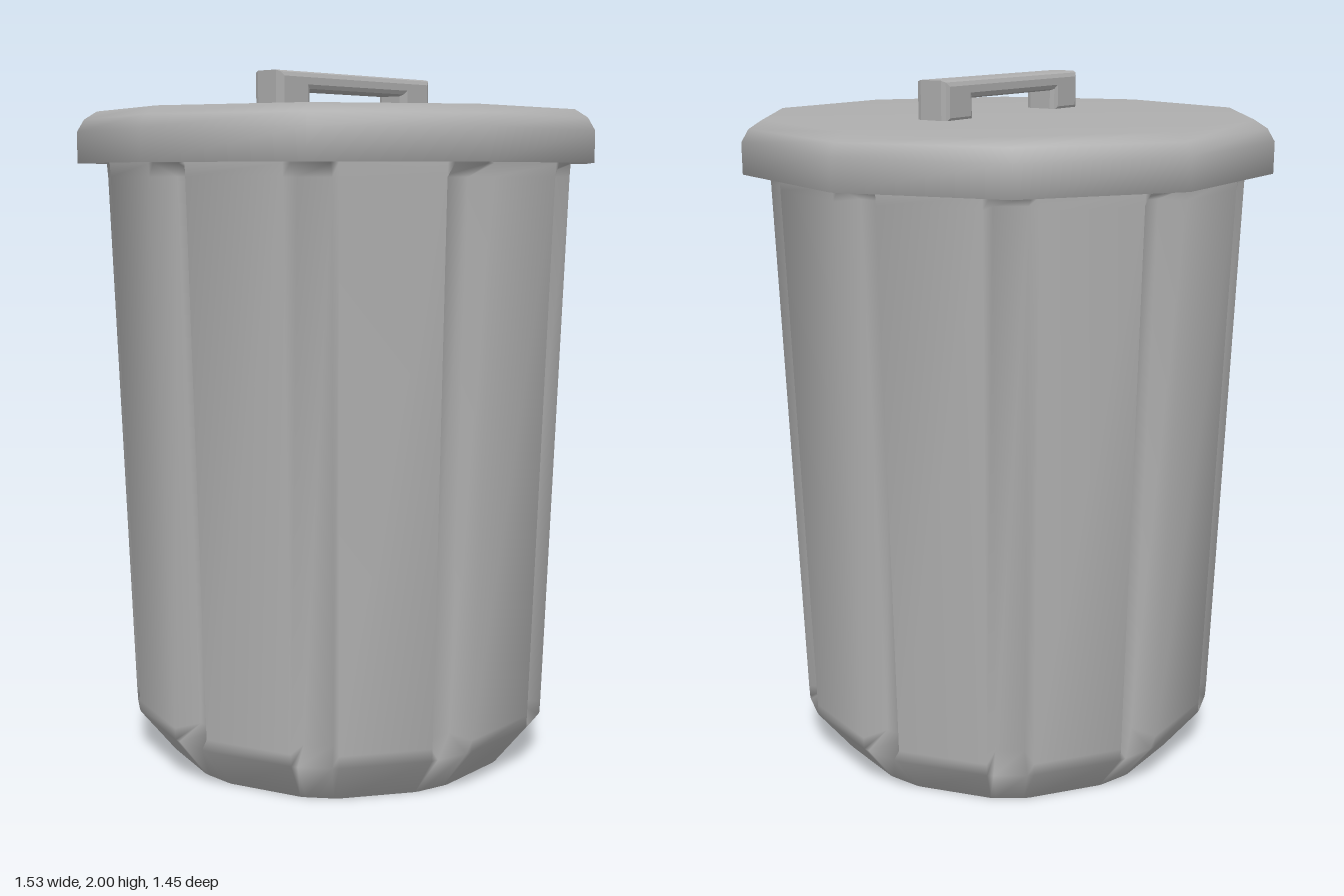
import * as THREE from 'three';

const SIDES = 10;
const STEP = (Math.PI * 2) / SIDES;

// Skin a stack of equal-length rings (bottom to top), optionally closing the top with a centre point
function loft(rings, capY = null) {
  const n = rings[0].length;
  const pos = rings.flat(2);
  const idx = [];
  for (let r = 0; r < rings.length - 1; r++) {
    for (let i = 0; i < n; i++) {
      const a = r * n + i, b = r * n + ((i + 1) % n);
      idx.push(a, b, b + n, a, b + n, a + n);
    }
  }
  if (capY !== null) {
    const c = rings.length * n, top = c - n;
    pos.push(0, capY, 0);
    for (let i = 0; i < n; i++) idx.push(top + i, top + ((i + 1) % n), c);
  }
  const g = new THREE.BufferGeometry();
  g.setAttribute('position', new THREE.Float32BufferAttribute(pos, 3));
  g.setIndex(idx);
  g.computeVertexNormals();
  return g;
}

// Angle runs from +z towards +x
const polar = (r, a, y) => [r * Math.sin(a), y, r * Math.cos(a)];

const decagon = (r, y) =>
  Array.from({ length: SIDES }, (_, i) => polar(r, (i + 0.5) * STEP, y));

// Body ring: ten flat panels separated by grooves of the given depth
function flutedRing(r, y, depth) {
  const ring = [];
  for (let i = 0; i < SIDES; i++) {
    const a = (i + 0.5) * STEP;
    ring.push(
      polar(r, a - 0.105, y), polar(r - depth, a - 0.075, y),
      polar(r - depth, a + 0.075, y), polar(r, a + 0.105, y));
  }
  return ring;
}

export function createModel() {
  const group = new THREE.Group();
  const metal = new THREE.MeshStandardMaterial({ color: 0xaeaeae, side: THREE.DoubleSide });
  metal.name = 'greyMetal';
  const add = (name, geometry) => {
    const mesh = new THREE.Mesh(geometry, metal);
    mesh.name = name;
    group.add(mesh);
    return mesh;
  };

  // Tapered, fluted body, open underneath
  add('body', loft([
    [0.523, 0, 0], [0.626, 0.13, 0], [0.628, 0.165, 0.08],
    [0.678, 1.71, 0.08], [0.68, 1.745, 0], [0.68, 1.8, 0],
  ].map(([r, y, d]) => flutedRing(r, y, d))));

  // Raised floor inside the body
  const floor = new THREE.CircleGeometry(0.5, SIDES, STEP / 2 - Math.PI / 2 + STEP / 2);
  floor.rotateX(Math.PI / 2);
  add('floor', floor).position.y = 0.2;

  // Ten-sided lid with a bevelled rim, hollow underneath
  add('lid', loft([
    decagon(0.735, 1.76), decagon(0.763, 1.748), decagon(0.763, 1.835),
    decagon(0.742, 1.87), decagon(0.705, 1.893),
  ], 1.895));

  // Bracket handle with chamfered edges
  const u = new THREE.Shape([
    [-0.325, 1.885], [-0.2, 1.885], [-0.2, 1.948], [0.2, 1.948],
    [0.2, 1.885], [0.325, 1.885], [0.325, 2], [-0.325, 2],
  ].map(([x, y]) => new THREE.Vector2(x, y)));
  const handle = new THREE.ExtrudeGeometry(u, {
    depth: 0.069, bevelEnabled: true, bevelThickness: 0.018,
    bevelSize: 0.016, bevelOffset: -0.016, bevelSegments: 2,
  });
  add('handle', handle).position.z = -0.012;

  return group;
}
